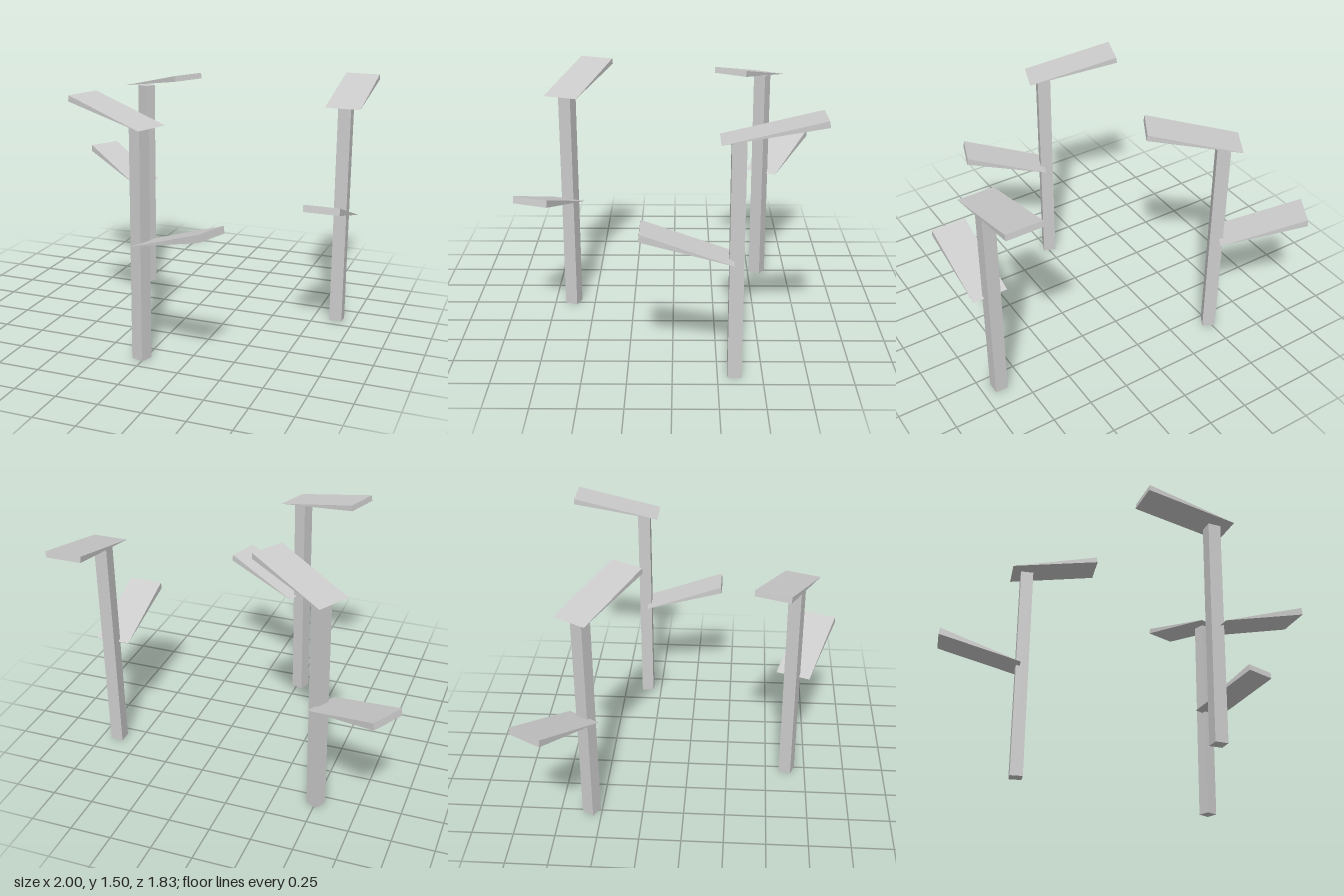
import * as THREE from 'three';

const material = new THREE.MeshStandardMaterial({ color: 0xcccccc, flatShading: true });
const POST_WIDTH = 0.078, POST_HEIGHT = 1.37, STEP_WIDTH = 0.212;

// Wedge-shaped step: a side profile of [z, y] corners, extruded across x
function makeStep(name, profile) {
  const shape = new THREE.Shape(profile.map(([z, y]) => new THREE.Vector2(z, y)));
  const geometry = new THREE.ExtrudeGeometry(shape, { depth: STEP_WIDTH, bevelEnabled: false });
  geometry.translate(0, 0, -STEP_WIDTH / 2).rotateY(-Math.PI / 2);
  const step = new THREE.Mesh(geometry, material);
  step.name = name;
  return step;
}

// Square post with a low step rising forward and a top step rising backward
function makeSteppedPost(name, x, z, degrees) {
  const group = new THREE.Group();
  group.name = name;

  const post = new THREE.Mesh(new THREE.BoxGeometry(POST_WIDTH, POST_HEIGHT, POST_WIDTH), material);
  post.name = 'post';
  post.position.y = POST_HEIGHT / 2;

  group.add(
    post,
    makeStep('lowerStep', [[0.016, 0.705], [0.521, 0.841], [0.515, 0.883]]),
    makeStep('topStep', [[0.096, 1.366], [-0.441, 1.495], [-0.446, 1.46]]),
  );
  group.position.set(x, 0, z);
  group.rotation.y = THREE.MathUtils.degToRad(degrees);
  return group;
}

export function createModel() {
  const model = new THREE.Group();
  model.name = 'steppedPosts';
  model.add(
    makeSteppedPost('leftPost', 0.894, -0.344, 0),
    makeSteppedPost('frontPost', -0.019, 0.635, 70),
    makeSteppedPost('rightPost', -0.5, -0.563, 240),
  );
  return model;
}
